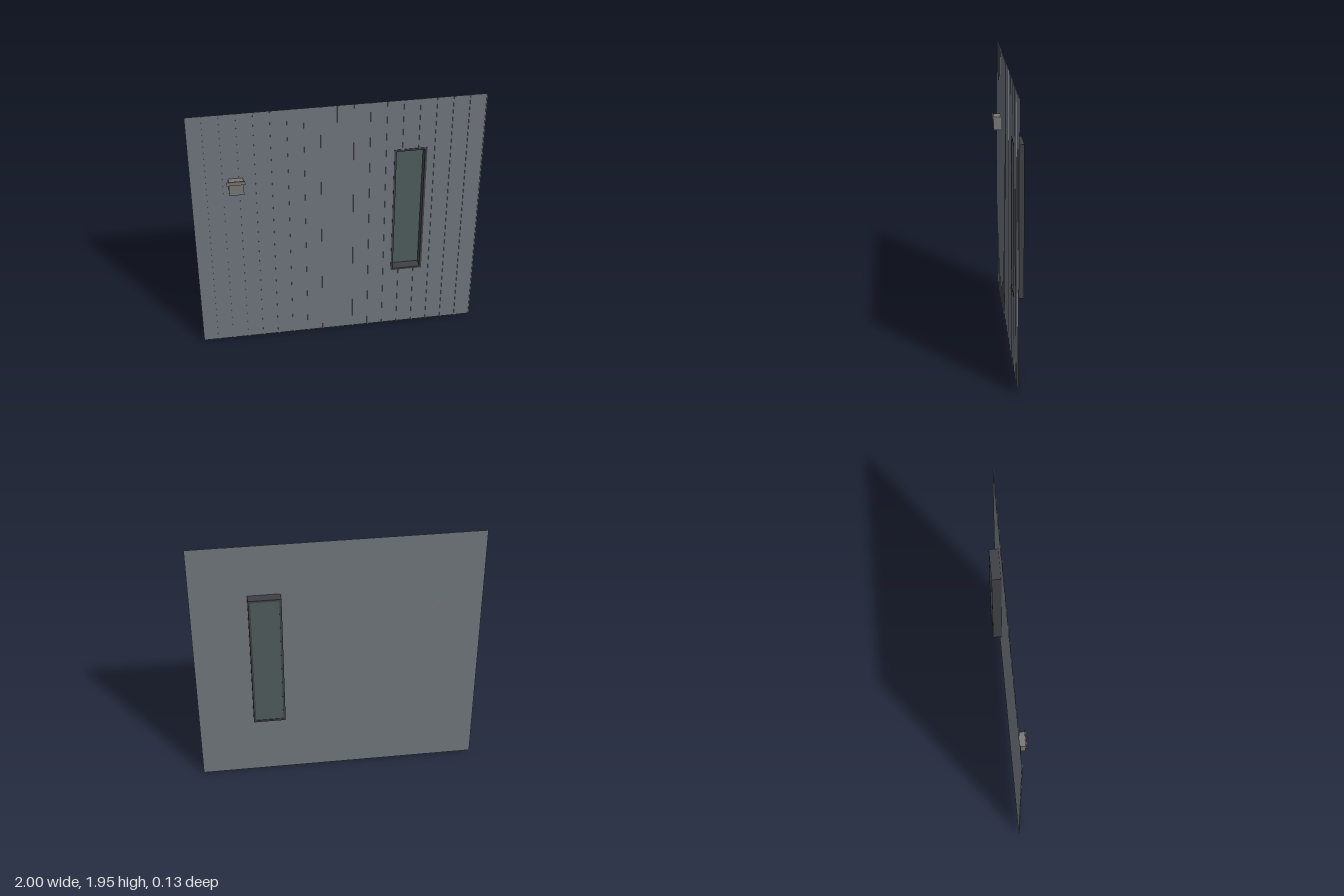
import * as THREE from 'three';

const mat = (color, side = THREE.FrontSide) => new THREE.MeshStandardMaterial({ color, side });

// Traces a rectangle on a Shape or Path
function rect(target, x0, y0, x1, y1) {
  target.moveTo(x0, y0);
  target.lineTo(x1, y0);
  target.lineTo(x1, y1);
  target.lineTo(x0, y1);
  target.closePath();
  return target;
}

// Box given by its two opposite corners
function box(name, material, x0, x1, y0, y1, z0, z1) {
  const mesh = new THREE.Mesh(new THREE.BoxGeometry(x1 - x0, y1 - y0, z1 - z0), material);
  mesh.position.set((x0 + x1) / 2, (y0 + y1) / 2, (z0 + z1) / 2);
  mesh.name = name;
  return mesh;
}

export function createModel() {
  const model = new THREE.Group();
  model.name = 'wallPanel';
  const H = 1.95;
  const win = { x0: 0.385, x1: 0.61, y0: 0.505, y1: 1.56, front: 0.004, back: -0.065, rim: 0.015 };

  const wallMat = mat(0x6e747b, THREE.DoubleSide);
  const ribMat = mat(0x6e747b);
  const frameMat = mat(0x3d3f43);
  const glassMat = mat(0x4d5a5a, THREE.DoubleSide);
  const lampMat = mat(0x777574);

  // Thin wall sheet with the window opening
  const sheet = rect(new THREE.Shape(), -1, 0, 1, H);
  sheet.holes.push(rect(new THREE.Path(), win.x0, win.y0, win.x1, win.y1));
  const wall = new THREE.Mesh(new THREE.ShapeGeometry(sheet), wallMat);
  wall.name = 'wallSheet';
  model.add(wall);

  // Raised standing seams, interrupted at the window
  const seams = new THREE.Group();
  seams.name = 'seams';
  for (let i = 0; i <= 18; i++) {
    const x = -1 + i / 9;
    const a = Math.max(x - 0.006, -1), b = Math.min(x + 0.006, 1);
    const spans = x > win.x0 && x < win.x1 ? [[0, win.y0], [win.y1, H]] : [[0, H]];
    for (const [y0, y1] of spans) seams.add(box('seam', ribMat, a, b, y0, y1, 0, 0.007));
  }
  model.add(seams);

  // Recessed window: deep frame and a pane near the back
  const windowGroup = new THREE.Group();
  windowGroup.name = 'window';
  const { x0, x1, y0, y1, rim } = win;
  const outline = rect(new THREE.Shape(), x0, y0, x1, y1);
  outline.holes.push(rect(new THREE.Path(), x0 + rim, y0 + rim, x1 - rim, y1 - rim));
  const frame = new THREE.Mesh(
    new THREE.ExtrudeGeometry(outline, { depth: win.front - win.back, bevelEnabled: false }), frameMat);
  frame.position.z = win.back;
  frame.name = 'windowFrame';
  const glass = new THREE.Mesh(new THREE.PlaneGeometry(x1 - x0 - 2 * rim, y1 - y0 - 2 * rim), glassMat);
  glass.position.set((x0 + x1) / 2, (y0 + y1) / 2, win.back + 0.004);
  glass.name = 'windowPane';
  windowGroup.add(frame, glass);
  model.add(windowGroup);

  // Small wall box with a wider strip across its upper front
  const fixture = new THREE.Group();
  fixture.name = 'wallBox';
  fixture.add(
    box('boxBody', lampMat, -0.745, -0.645, 1.34, 1.44, 0, 0.057),
    box('boxStrip', lampMat, -0.76, -0.635, 1.427, 1.455, 0.057, 0.065));
  model.add(fixture);

  return model;
}
